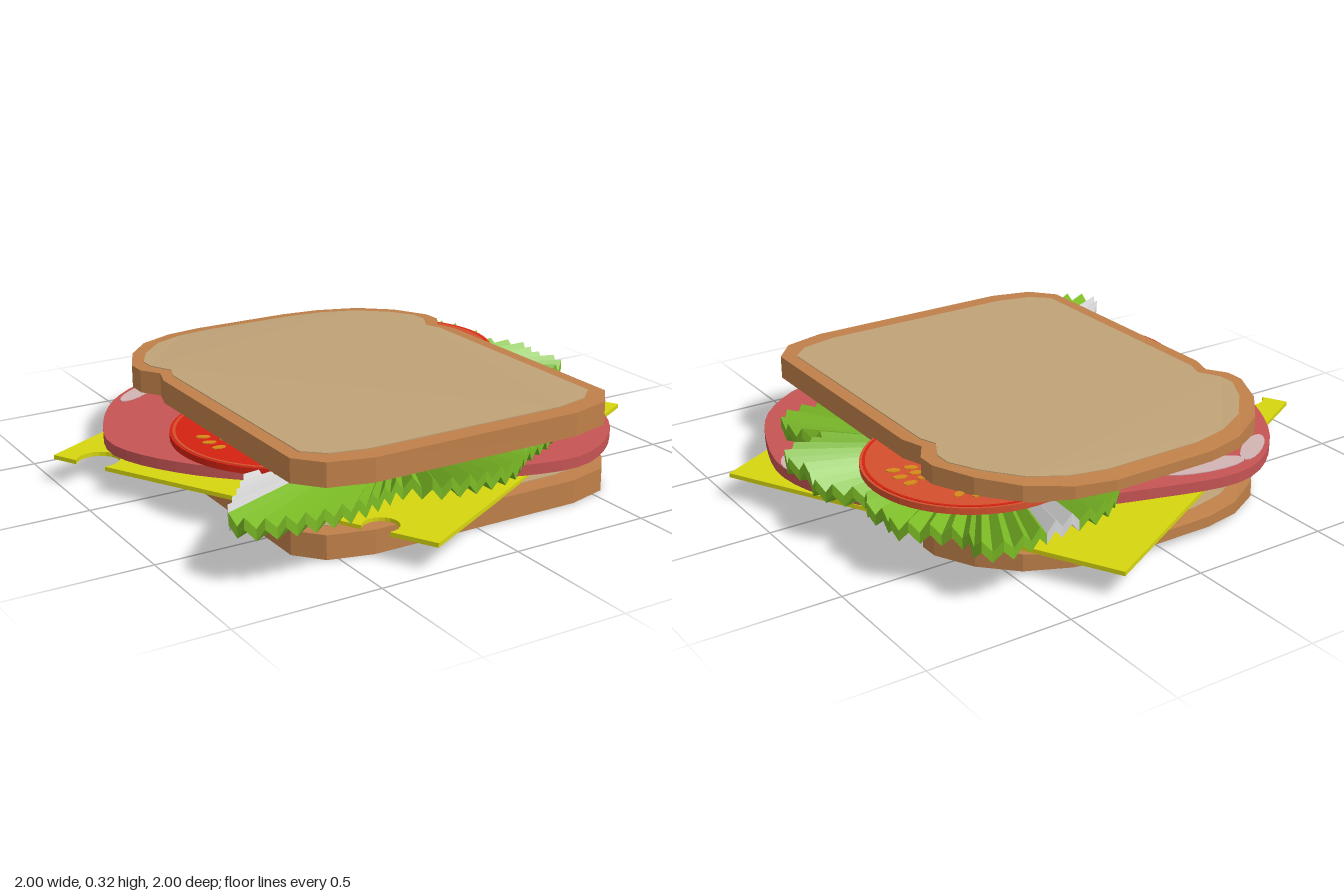
import * as THREE from 'three';

const mat = (name, color) => {
  const m = new THREE.MeshStandardMaterial({ color });
  m.name = name;
  return m;
};

// Shapes are written in plan coordinates (x, z)
const plan = (pts) => pts.map(([x, z]) => new THREE.Vector2(x, -z));
const smooth = (pts, n) => new THREE.CatmullRomCurve3(
  pts.map(([x, z]) => new THREE.Vector3(x, 0, z)), true).getSpacedPoints(n).slice(0, n).map((p) => [p.x, p.z]);
const oval = (cx, cz, rx, rz, turn = 0, n = 16) => Array.from({ length: n }, (_, i) => {
  const a = (i / n) * Math.PI * 2, u = rx * Math.cos(a), v = rz * Math.sin(a);
  return [cx + u * Math.cos(turn) - v * Math.sin(turn), cz + u * Math.sin(turn) + v * Math.cos(turn)];
});

// Flat slice lying between heights y0 and y1
function slice(outline, y0, y1, holes = []) {
  const shape = new THREE.Shape(plan(outline));
  holes.forEach((h) => shape.holes.push(new THREE.Path(plan(h))));
  const g = new THREE.ExtrudeGeometry(shape, { depth: y1 - y0, bevelEnabled: false });
  return g.rotateX(-Math.PI / 2).translate(0, y0, 0);
}

// Bread thins towards its domed back end
function thinBack(g, mid) {
  const p = g.attributes.position;
  for (let i = 0; i < p.count; i++) {
    const t = Math.max(0, (-p.getZ(i) - 0.3) / 0.51);
    p.setY(i, mid + (p.getY(i) - mid) * (1 - 0.55 * t * t * t));
  }
  g.computeVertexNormals();
  return g;
}

// Pleated leaf wedge: outline samples i0..i1 joined to the centre, zigzagging in height
function pleats(outline, [cx, cz], i0, i1) {
  const pos = [], n = outline.length, rings = [0, 0.55, 1];
  const at = (i, r, side) => {
    const [x, z] = outline[((i % n) + n) % n];
    const wave = (i % 2 ? 1 : -1) * 0.019 * r;
    const k = r === 1 && i % 2 ? 1.012 : r;
    return [cx + (x - cx) * k, 0.198 + wave + side * 0.019, cz + (z - cz) * k];
  };
  const quad = (a, b, c, d) => pos.push(...a, ...b, ...c, ...a, ...c, ...d);
  for (let i = i0; i < i1; i++) {
    for (let j = 0; j < 2; j++) {
      const r = rings[j], s = rings[j + 1];
      quad(at(i, r, 1), at(i, s, 1), at(i + 1, s, 1), at(i + 1, r, 1));
      quad(at(i, r, -1), at(i + 1, r, -1), at(i + 1, s, -1), at(i, s, -1));
    }
    quad(at(i, 1, 1), at(i, 1, -1), at(i + 1, 1, -1), at(i + 1, 1, 1));
  }
  const g = new THREE.BufferGeometry();
  g.setAttribute('position', new THREE.Float32BufferAttribute(pos, 3));
  g.computeVertexNormals();
  return g;
}

export function createModel() {
  const model = new THREE.Group();
  model.name = 'sandwich';
  const crust = mat('crust', 0xbf8049), crumb = mat('crumb', 0xbfa277);
  const cheese = mat('cheese', 0xd6d610), ham = mat('ham', 0xc65454), fat = mat('ham fat', 0xd2b4b4);
  const green = mat('lettuce', 0x7cbc25), stem = mat('lettuce stem', 0xd4d4d4);
  const red = mat('tomato red', 0xd62211), flesh = mat('tomato flesh', 0xd4502d), seed = mat('tomato seed', 0xd68a18);
  green.side = stem.side = THREE.DoubleSide;
  const add = (name, geometry, material, parent = model) => {
    const m = new THREE.Mesh(geometry, material);
    m.name = name;
    parent.add(m);
    return m;
  };
  const group = (name) => {
    const g = new THREE.Group();
    g.name = name;
    model.add(g);
    return g;
  };

  // Bread slices: crust ring around a crumb core
  const mirror = (half) => [...half, ...half.slice().reverse().map(([x, z]) => [-x, z])];
  const outer = mirror([[0.39, 0.79], [0.54, 0.75], [0.615, 0.66], [0.615, -0.22], [0.59, -0.3], [0.635, -0.37],
    [0.635, -0.44], [0.57, -0.58], [0.47, -0.7], [0.33, -0.78], [0.19, -0.81]]);
  const inner = mirror([[0.37, 0.72], [0.5, 0.69], [0.565, 0.63], [0.565, -0.25], [0.543, -0.31], [0.585, -0.39],
    [0.585, -0.45], [0.53, -0.55], [0.43, -0.66], [0.31, -0.72], [0.18, -0.745]]);
  [['bottomBread', 0], ['topBread', 0.237]].forEach(([name, y]) => {
    const bread = group(name), mid = y + 0.044;
    add('crust', thinBack(slice(outer, y + 0.003, y + 0.085, [inner]), mid), crust, bread);
    add('crumb', thinBack(slice(inner, y, y + 0.088), mid), crumb, bread);
  });

  // Cheese square with bites in one edge and round holes
  const bite = (cx, cz, r) => Array.from({ length: 15 }, (_, i) => {
    const a = -0.6 + (i / 14) * (Math.PI + 1.2), u = -r * Math.cos(a), v = r * (Math.sin(a) + 0.565);
    return [cx - 0.474 * u + 0.88 * v, cz - 0.88 * u - 0.474 * v];
  });
  const square = [[-1, -0.3], [0.3, -1], [1, 0.3], [-0.3, 1], ...bite(-0.402, 0.81, 0.06), ...bite(-0.925, -0.16, 0.075)];
  const cheeseHoles = [[0.16, -0.74, 0.05], [-0.06, -0.7, 0.06], [0.5, 0.2, 0.07], [-0.35, 0.15, 0.08], [0.1, 0.45, 0.06]]
    .map(([x, z, r]) => oval(x, z, r, r));
  add('cheese', slice(square, 0.083, 0.098, cheeseHoles), cheese);

  // Ham slice with fat marbling
  const hamGroup = group('hamSlice');
  add('ham', slice(smooth([[-0.84, -0.15], [-0.79, -0.36], [-0.62, -0.62], [-0.4, -0.745], [-0.05, -0.68], [0.4, -0.5],
    [0.75, -0.2], [0.873, 0.12], [0.82, 0.38], [0.7, 0.6], [0.45, 0.755], [0.1, 0.68], [-0.35, 0.45], [-0.7, 0.14]], 72),
  0.112, 0.15), ham, hamGroup);
  [[0.82, 0.15, 0.05, 0.08, 0.3], [-0.54, -0.62, 0.11, 0.035, -0.62], [-0.3, -0.64, 0.16, 0.05, 0.2],
    [0.1, 0.3, 0.2, 0.07, 0.5], [0.35, 0.55, 0.12, 0.05, 0.3]].forEach(([x, z, a, b, t]) =>
    add('fatMark', slice(oval(x, z, a, b, t), 0.148, 0.153), fat, hamGroup));

  // Pleated lettuce leaves, each with one pale stem wedge
  const leaf = (name, centre, pts, stemEnds) => {
    const g = group(name), n = 120, outline = smooth(pts, n);
    const nearest = ([x, z]) => outline.reduce((best, p, i) =>
      Math.hypot(p[0] - x, p[1] - z) < Math.hypot(outline[best][0] - x, outline[best][1] - z) ? i : best, 0);
    const [a, b] = stemEnds.map(nearest);
    const end = b > a ? b : b + n;
    add('stem', pleats(outline, centre, a, end), stem, g);
    add('leafBlade', pleats(outline, centre, end, a + n), green, g);
  };
  leaf('backLettuce', [0.3, -0.2], [[0.2, -0.78], [0.4, -0.81], [0.62, -0.84], [0.69, -0.8], [0.69, -0.71], [0.78, -0.6],
    [0.83, -0.54], [0.82, -0.46], [0.84, -0.39], [0.8, -0.31], [0.86, -0.24], [0.9, -0.15], [0.87, -0.05], [0.895, 0.05],
    [0.85, 0.12], [0.71, 0.14], [0.77, 0.24], [0.76, 0.36], [0.66, 0.4], [0.4, 0.38], [0, 0.3], [-0.25, -0.1], [-0.05, -0.5]],
  [[0.33, -0.8], [0.46, -0.82]]);
  leaf('frontLettuce', [-0.05, 0.38], [[-0.6, 0.4], [-0.75, 0.59], [-0.865, 0.75], [-0.83, 0.82], [-0.7, 0.86], [-0.5, 0.86],
    [-0.38, 0.82], [-0.28, 0.79], [-0.19, 0.85], [-0.04, 0.868], [0.1, 0.84], [0.2, 0.76], [0.45, 0.6], [0.5, 0.35],
    [0.3, 0.05], [-0.1, -0.05], [-0.4, 0.15]].reverse(), [[-0.865, 0.75], [-0.55, 0.36]]);

  // Tomato slices with a thin rim line and seed clusters
  const tomato = (name, x, z, r, y0, y1, body, rim) => {
    const g = group(name);
    add('slice', slice(oval(x, z, r, r, 0, 56), y0, y1), body, g);
    add('rimLine', slice(oval(x, z, r * 0.975, r * 0.975, 0, 56), y1 - 0.002, y1 + 0.002,
      [oval(x, z, r * 0.95, r * 0.95, 0, 56)]), rim, g);
    for (let k = 0; k < 6; k++) {
      for (let j = 0; j < 6; j++) {
        const a = (k * Math.PI) / 3 + ((j % 3) - 1) * 0.2, d = r * (j < 3 ? 0.58 : 0.74);
        add('seed', slice(oval(x + d * Math.cos(a), z + d * Math.sin(a), 0.024, 0.014, a + 0.3, 8),
          y1 - 0.002, y1 + 0.003), seed, g);
      }
    }
  };
  tomato('backTomato', 0.42, -0.34, 0.37, 0.234, 0.256, flesh, red);
  tomato('frontTomato', -0.372, 0.21, 0.388, 0.216, 0.238, red, flesh);

  return model;
}
